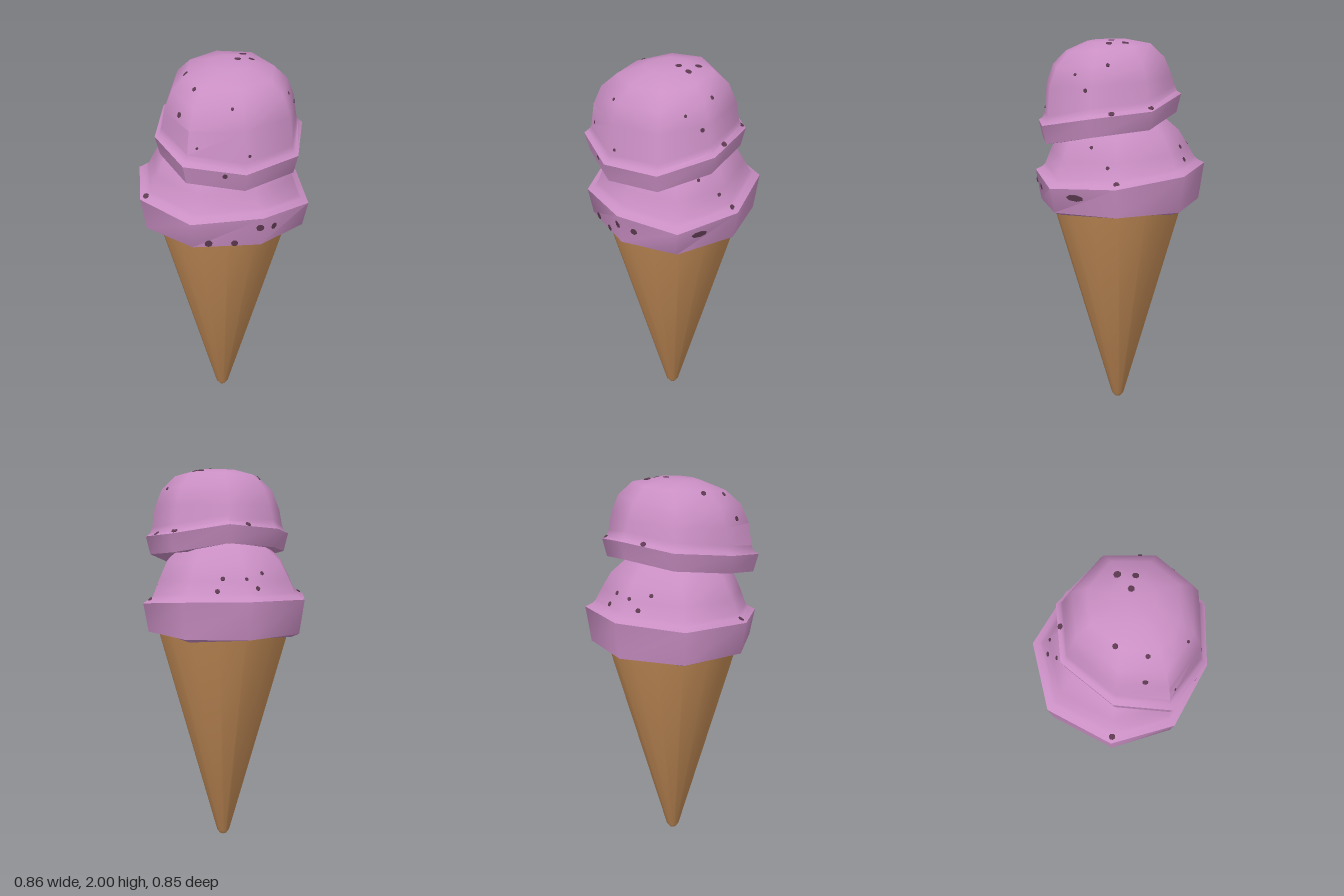
import * as THREE from 'three';
import { toCreasedNormals } from 'three/addons/utils/BufferGeometryUtils.js';

const V = (x, y) => new THREE.Vector2(x, y);

// Skin a stack of equal-length rings, listed bottom to top, closed by a point at each end
function skin(rings, bottom, top) {
  const n = rings[0].length;
  const pos = [...bottom, ...rings.flat(2), ...top];
  const last = rings.length * n + 1;
  const at = (r, i) => 1 + r * n + (i % n);
  const index = [];
  for (let i = 0; i < n; i++) {
    index.push(0, at(0, i + 1), at(0, i));
    for (let r = 0; r < rings.length - 1; r++) {
      const a = at(r, i), b = at(r, i + 1), c = at(r + 1, i + 1), d = at(r + 1, i);
      index.push(a, b, c, a, c, d);
    }
    index.push(at(rings.length - 1, i), at(rings.length - 1, i + 1), last);
  }
  const g = new THREE.BufferGeometry();
  g.setAttribute('position', new THREE.Float32BufferAttribute(pos, 3));
  g.setIndex(index);
  return toCreasedNormals(g, 0.95);
}

// Rim outline [x, y, z] scaled about a centre; height(x, y, z, i) sets each new y
const ring = (rim, cx, cz, s, height) => rim.map(([x, y, z], i) => {
  const nx = cx + (x - cx) * s, nz = cz + (z - cz) * s;
  return [nx, height(nx, y, nz, i), nz];
});

export function createModel() {
  const model = new THREE.Group();
  const iceCream = new THREE.MeshStandardMaterial({ color: 0xca8fc4 });
  iceCream.name = 'berry ice cream';
  const wafer = new THREE.MeshStandardMaterial({ color: 0xc68e58 });
  wafer.name = 'wafer';
  const chocolate = new THREE.MeshStandardMaterial({ color: 0x5c3a50 });
  chocolate.name = 'chocolate';
  const add = (name, geometry, material, parent = model) => {
    const mesh = new THREE.Mesh(geometry, material);
    mesh.name = name;
    parent.add(mesh);
    return mesh;
  };

  // Wafer cone with a blunt tip
  add('cone', toCreasedNormals(new THREE.LatheGeometry(
    [V(0, 0), V(0.018, 0), V(0.034, 0.022), V(0.365, 1.2), V(0, 1.2)], 16), 0.6), wafer);

  // Lower scoop: eight-sided collar and dome, rims run counter-clockwise from above
  const lowRim = [
    [-0.16, 1.355, -0.43], [-0.43, 1.34, -0.19], [-0.43, 1.33, 0.17], [-0.19, 1.30, 0.40],
    [0.17, 1.32, 0.40], [0.425, 1.29, 0.20], [0.41, 1.31, -0.15], [0.18, 1.35, -0.425],
  ];
  const low = (s, h) => ring(lowRim, 0, 0, s, h);
  const lowerScoop = add('lowerScoop', skin([
    low(0.84, (x, y, z, i) => (i % 2 ? 1.14 : 1.16)),
    low(0.94, () => 1.16),
    low(1, (x, y) => y),
    low(0.92, (x, y) => y + 0.018),
    low(0.88, (x, y) => y + 0.035),
    low(0.81, (x, y) => 1.43 + (y - 1.32) * 0.5),
    low(0.70, () => 1.53),
    low(0.45, () => 1.63),
  ], [0, 1.17, 0], [0, 1.66, 0]), iceCream);

  // Upper scoop: tipped towards the front
  const highRim = [
    [-0.05, 1.73, -0.33], [-0.29, 1.70, -0.17], [-0.345, 1.66, 0.14], [-0.22, 1.61, 0.39],
    [0.08, 1.57, 0.42], [0.35, 1.59, 0.27], [0.41, 1.65, -0.01], [0.25, 1.68, -0.28],
  ];
  const cx = 0.035, cz = 0.045;
  const high = (s, h) => ring(highRim, cx, cz, s, h);
  const upperScoop = add('upperScoop', skin([
    high(0.72, (x, y) => y - 0.095),
    high(0.94, (x, y) => y - 0.095),
    high(1, (x, y) => y),
    high(0.94, (x, y) => y + 0.015),
    high(0.91, (x, y) => y + 0.045),
    high(0.87, (x, y, z) => 1.80 - z * 0.08),
    high(0.77, (x, y, z) => 1.895 - z * 0.08),
    high(0.58, (x, y, z) => 1.965 - z * 0.1),
    high(0.28, (x, y, z) => 1.997 - z * 0.05),
  ], [cx, 1.55, cz], [cx, 2, 0.02]), iceCream);

  // Chocolate chips: thin flakes laid on the scoops, each found by a straight cast
  const chips = new THREE.Group();
  chips.name = 'chocolateChips';
  model.add(chips);
  const flake = new THREE.CylinderGeometry(1, 1, 0.005, 7);
  const caster = new THREE.Raycaster();
  const up = new THREE.Vector3(0, 1, 0);
  const chip = (origin, direction, size, stretch = 1) => {
    caster.set(origin, direction);
    const hit = caster.intersectObjects([lowerScoop, upperScoop])[0];
    if (!hit) return;
    const mesh = add('chip', flake, chocolate, chips);
    mesh.position.copy(hit.point);
    mesh.quaternion.setFromUnitVectors(up, hit.face.normal);
    mesh.scale.set(size, 1, size * stretch);
  };

  // Chips on the front [x, y, size]
  [[-0.10, 1.18, 0.02], [0.03, 1.175, 0.018], [0.155, 1.265, 0.02], [0.23, 1.245, 0.018],
    [-0.02, 1.56, 0.013], [0.02, 1.87, 0.008], [-0.15, 1.69, 0.007], [0.1, 1.645, 0.008],
  ].forEach(([x, y, s]) => chip(new THREE.Vector3(x, y, 2), new THREE.Vector3(0, 0, -1), s));
  // Chips on the left flank [z, y, size, stretch]
  [[0.07, 1.25, 0.018, 2.5], [0.34, 1.245, 0.012], [0.1, 1.85, 0.008], [0.03, 1.78, 0.011],
    [-0.06, 1.9, 0.01], [0.02, 1.49, 0.009], [-0.08, 1.4, 0.01],
  ].forEach(([z, y, s, k]) => chip(new THREE.Vector3(2, y, z), new THREE.Vector3(-1, 0, 0), s, k));
  // Chips on top [x, z, size]
  [[-0.135, -0.335, 0.01], [-0.14, -0.255, 0.015], [0.23, -0.265, 0.016], [0.375, -0.14, 0.015],
    [0.34, -0.1, 0.016], [0.11, -0.085, 0.018], [0.145, -0.01, 0.016], [0.075, 0.005, 0.016],
    [-0.185, 0.065, 0.014], [-0.225, 0.24, 0.014], [-0.15, 0.21, 0.012], [-0.4, 0.16, 0.016],
  ].forEach(([x, z, s]) => chip(new THREE.Vector3(x, 3, z), new THREE.Vector3(0, -1, 0), s));
  // Chips on the back right [offset sideways, y, size]
  [[-0.27, 1.4, 0.013], [-0.23, 1.46, 0.012], [-0.09, 1.41, 0.013], [-0.03, 1.48, 0.011],
  ].forEach(([o, y, s]) => chip(new THREE.Vector3(-2 - o * 0.7, y, -2 + o * 0.7),
    new THREE.Vector3(1, 0, 1).normalize(), s));

  return model;
}
